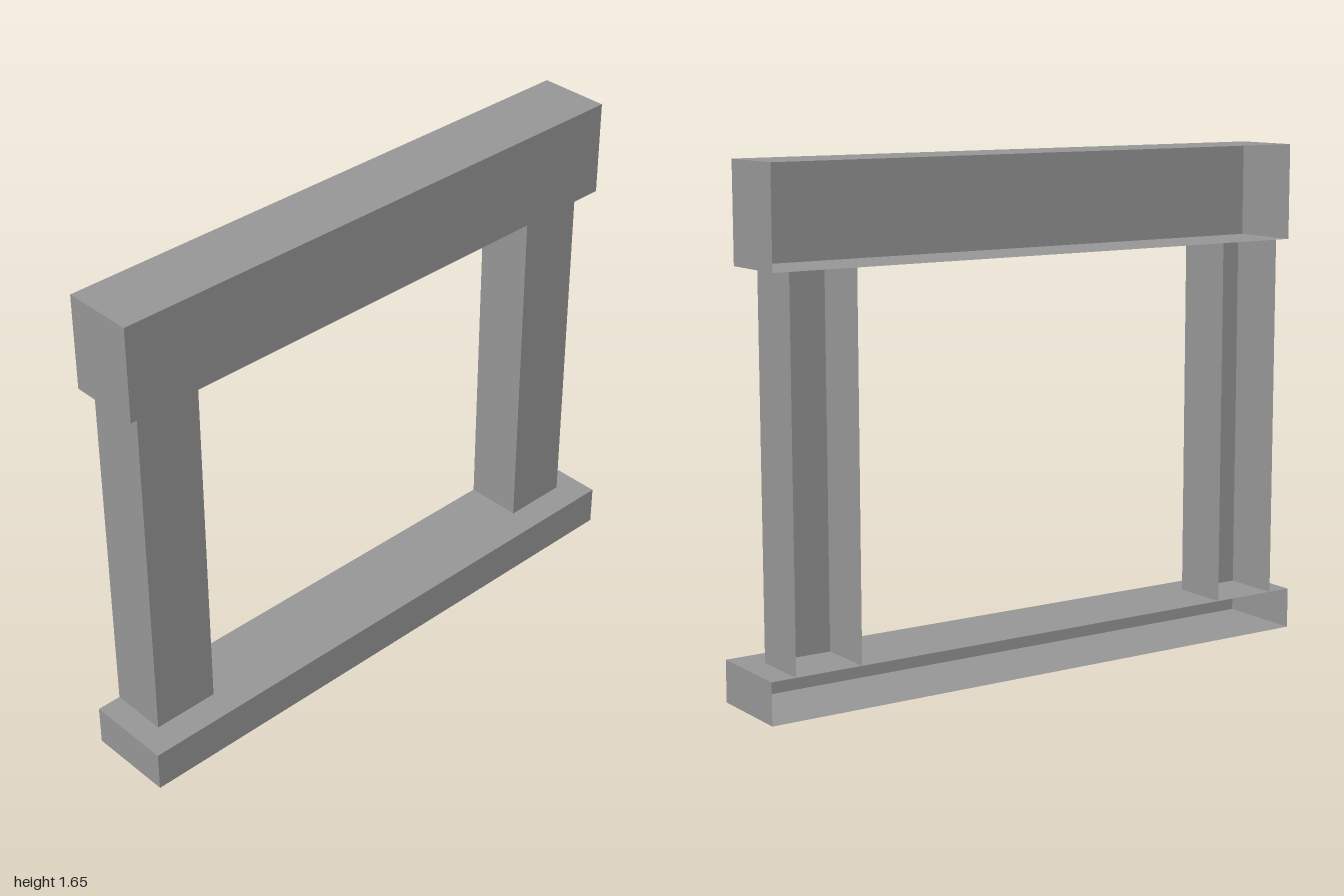
import * as THREE from 'three';

const BACK_X = -0.147; // plane that sits against the wall, left open
const FACES = ['+x', '-x', '+y', '-y', '+z', '-z']; // face order of a box

const stone = new THREE.MeshStandardMaterial({ color: 0x969696, side: THREE.DoubleSide });
stone.name = 'grey stone';

// Hollow box shell spanning the given ranges, without the faces listed in open
function shell(name, frontX, [y0, y1], [z0, z1], open) {
  const geometry = new THREE.BoxGeometry(frontX - BACK_X, y1 - y0, z1 - z0);
  const index = Array.from(geometry.index.array);
  geometry.setIndex(index.filter((_, i) => !open.includes(FACES[Math.floor(i / 6)])));
  geometry.clearGroups();
  const mesh = new THREE.Mesh(geometry, stone);
  mesh.name = name;
  mesh.position.set((frontX + BACK_X) / 2, (y0 + y1) / 2, (z0 + z1) / 2);
  return mesh;
}

export function createModel() {
  const group = new THREE.Group();
  group.name = 'windowSurround';

  // Sill and lintel, open only at the back
  group.add(shell('sill', 0.147, [0, 0.135], [-1, 1], ['-x']));
  group.add(shell('lintel', 0.092, [1.34, 1.655], [-0.972, 0.972], ['-x']));

  // Two posts, open at the back and where they meet sill and lintel
  const ends = ['-x', '+y', '-y'];
  group.add(shell('frontPost', 0.048, [0.135, 1.34], [0.692, 0.918], ends));
  group.add(shell('rearPost', 0.048, [0.135, 1.34], [-0.918, -0.692], ends));

  return group;
}
